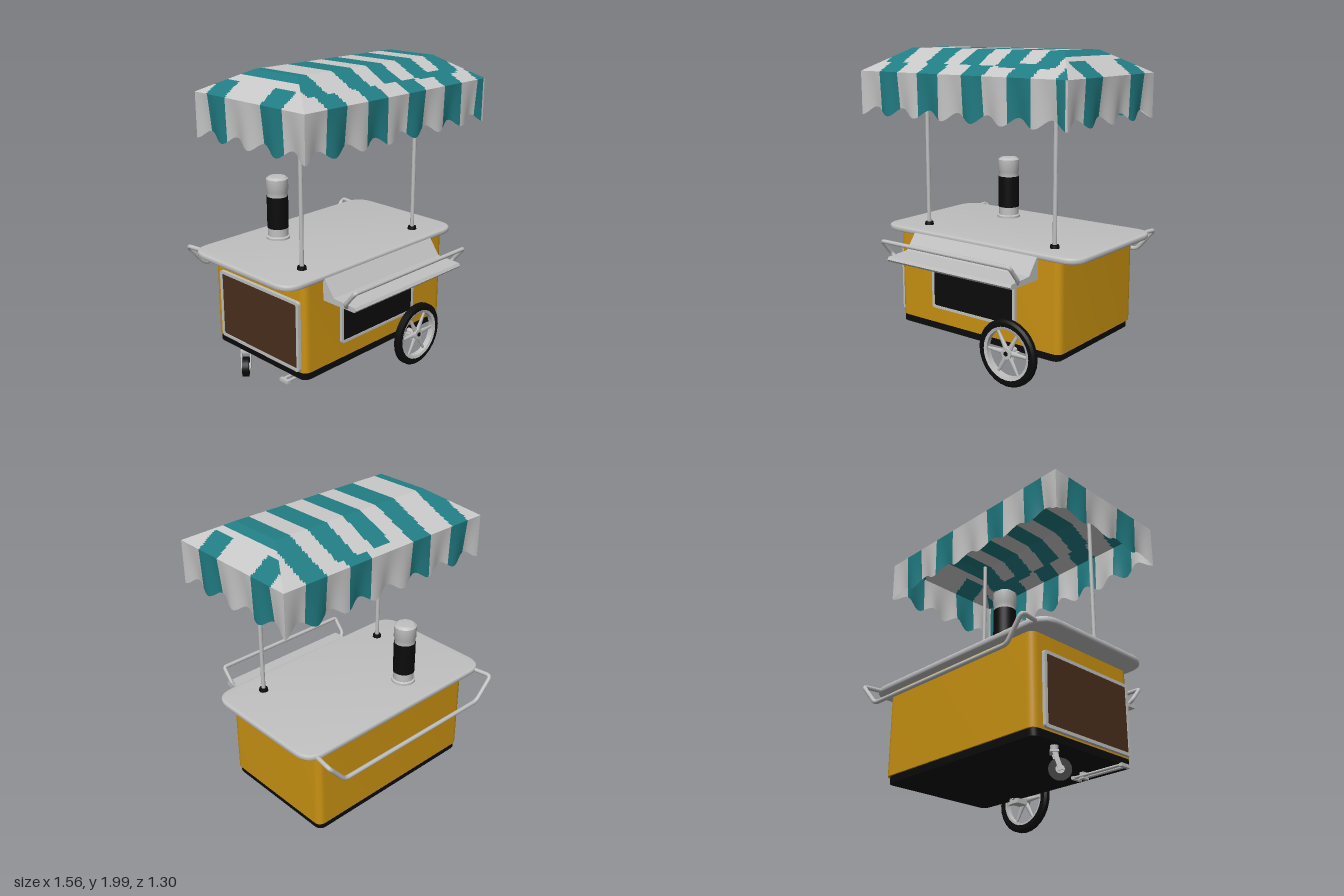
import * as THREE from 'three';
import { toCreasedNormals } from 'three/addons/utils/BufferGeometryUtils.js';

const V = (x, y, z) => new THREE.Vector3(x, y, z);
const paint = (name, color) => {
  const m = new THREE.MeshStandardMaterial({ color });
  m.name = name;
  return m;
};

export function createModel() {
  const cart = new THREE.Group();
  cart.name = 'foodCart';
  const gold = paint('golden yellow', 0xc99212);
  const steel = paint('brushed steel', 0xc0c0c0);
  const black = paint('black', 0x0b0b0b);
  const brown = paint('dark brown', 0x4a2e1c);
  const cloth = paint('off-white cloth', 0xc8c8c8);
  const teal = paint('teal cloth', 0x217d84);
  cloth.side = teal.side = THREE.DoubleSide;

  const add = (name, geo, mat, x = 0, y = 0, z = 0, parent = cart) => {
    const m = new THREE.Mesh(geo, mat);
    m.name = name;
    m.position.set(x, y, z);
    parent.add(m);
    return m;
  };
  const cyl = (r0, r1, h, n = 24) => new THREE.CylinderGeometry(r1, r0, h, n);
  const cylZ = (r, h, n = 24) => cyl(r, r, h, n).rotateX(Math.PI / 2);
  const box = (w, h, d) => new THREE.BoxGeometry(w, h, d);

  // Rounded rectangle outline centred on the origin
  const roundRect = (w, h, r, Kind = THREE.Shape) => {
    const s = new Kind(), a = w / 2, b = h / 2;
    s.moveTo(-a + r, -b).lineTo(a - r, -b).quadraticCurveTo(a, -b, a, -b + r);
    s.lineTo(a, b - r).quadraticCurveTo(a, b, a - r, b);
    s.lineTo(-a + r, b).quadraticCurveTo(-a, b, -a, b - r);
    s.lineTo(-a, -b + r).quadraticCurveTo(-a, -b, -a + r, -b);
    return s;
  };
  // Horizontal slab between two heights
  const slab = (x0, x1, z0, z1, y0, y1, r, bevel = 0) => {
    const g = new THREE.ExtrudeGeometry(roundRect(x1 - x0 - 2 * bevel, z1 - z0 - 2 * bevel, r), {
      depth: y1 - y0 - 2 * bevel, curveSegments: 8, bevelEnabled: bevel > 0,
      bevelSize: bevel, bevelThickness: bevel, bevelSegments: 3,
    });
    g.rotateX(-Math.PI / 2).translate((x0 + x1) / 2, y0 + bevel, (z0 + z1) / 2);
    return toCreasedNormals(g, 0.7);
  };
  // Tube along a polyline with rounded corners
  const pipe = (pts, r, fillet = 0.03) => {
    const path = new THREE.CurvePath();
    let from = pts[0];
    for (let i = 1; i < pts.length - 1; i++) {
      const p = pts[i];
      const a = p.clone().add(pts[i - 1].clone().sub(p).setLength(fillet));
      const b = p.clone().add(pts[i + 1].clone().sub(p).setLength(fillet));
      path.add(new THREE.LineCurve3(from, a));
      path.add(new THREE.QuadraticBezierCurve3(a, p, b));
      from = b;
    }
    path.add(new THREE.LineCurve3(from, pts[pts.length - 1]));
    return new THREE.TubeGeometry(path, 120, r, 10);
  };

  // Body and counter
  add('base', slab(-0.635, 0.62, -0.465, 0.35, 0.21, 0.255, 0.05), black);
  add('body', slab(-0.637, 0.632, -0.475, 0.352, 0.255, 0.825, 0.05), gold);
  add('counter', slab(-0.78, 0.755, -0.533, 0.368, 0.815, 0.852, 0.12, 0.012), steel);

  // Framed panels on the front and on the right end
  const framedPanel = (name, w, h, border, mat) => {
    const g = new THREE.Group();
    g.name = name;
    const s = roundRect(w, h, 0.02);
    s.holes.push(roundRect(w - 2 * border, h - 2 * border, 0.012, THREE.Path));
    add('panelFrame', new THREE.ExtrudeGeometry(s, { depth: 0.022, bevelEnabled: false }), steel, 0, 0, 0, g);
    add('panelFace', box(w - border, h - border, 0.009), mat, 0, 0, 0.013, g);
    cart.add(g);
    return g;
  };
  framedPanel('frontPanel', 0.665, 0.30, 0.017, black).position.set(-0.013, 0.51, 0.35);
  const side = framedPanel('sidePanel', 0.72, 0.45, 0.02, brown);
  side.position.set(-0.636, 0.49, -0.04);
  side.rotation.y = -Math.PI / 2;

  // Front shelf with its rail
  const profile = [[0.355, 0.83], [0.37, 0.83], [0.445, 0.73], [0.61, 0.722], [0.62, 0.705], [0.61, 0.692], [0.36, 0.692]];
  const shelf = new THREE.ExtrudeGeometry(new THREE.Shape(profile.map(p => new THREE.Vector2(...p))), { depth: 0.97, bevelEnabled: false });
  add('shelf', shelf.rotateY(-Math.PI / 2).translate(0.48, 0, 0), steel);
  add('shelfRail', pipe([V(-0.49, 0.71, 0.55), V(-0.513, 0.735, 0.56), V(-0.513, 0.825, 0.635),
    V(0.485, 0.825, 0.635), V(0.485, 0.735, 0.56), V(0.47, 0.71, 0.55)], 0.013, 0.015), steel);

  // Push handle at the back
  add('pushHandle', pipe([V(-0.7, 0.83, -0.48), V(-0.722, 0.83, -0.64), V(-0.6, 0.685, -0.632),
    V(0.57, 0.685, -0.632), V(0.695, 0.83, -0.64), V(0.67, 0.83, -0.48)], 0.014), steel);

  // Canopy poles with collars
  for (const x of [-0.515, 0.49]) {
    add('pole', cyl(0.013, 0.013, 1.13, 12), steel, x, 1.415, 0.205);
    add('poleCollar', cyl(0.03, 0.026, 0.022, 16), black, x, 0.861, 0.205);
  }

  // Dispenser on the counter
  const lathe = pts => toCreasedNormals(new THREE.LatheGeometry(pts.map(p => new THREE.Vector2(...p)), 28), 0.6);
  const can = new THREE.Group();
  can.name = 'dispenser';
  can.position.set(-0.247, 0, -0.305);
  cart.add(can);
  add('dispenserFoot', lathe([[0, 0.85], [0.077, 0.85], [0.077, 0.866], [0.066, 0.872], [0.066, 0.93]]), steel, 0, 0, 0, can);
  add('dispenserSleeve', cyl(0.069, 0.069, 0.21, 28), black, 0, 1.03, 0, can);
  add('dispenserLid', lathe([[0.066, 1.13], [0.066, 1.165], [0.071, 1.175], [0.071, 1.25], [0.055, 1.263], [0, 1.267]]), steel, 0, 0, 0, can);

  // Big spoked wheel
  const wheel = new THREE.Group();
  wheel.name = 'bigWheel';
  wheel.position.set(0.307, 0.218, 0.42);
  cart.add(wheel);
  const ring = pts => lathe(pts).rotateX(Math.PI / 2);
  add('tyre', ring([[0.165, -0.022], [0.195, -0.023], [0.211, -0.012], [0.211, 0.012], [0.195, 0.023], [0.165, 0.022], [0.165, -0.022]]), black, 0, 0, 0, wheel);
  add('rim', ring([[0.15, -0.018], [0.168, -0.018], [0.168, 0.024], [0.15, 0.018], [0.15, -0.018]]), steel, 0, 0, 0, wheel);
  for (let i = 0; i < 6; i++) {
    const spoke = cyl(0.019, 0.009, 0.14, 8).scale(1, 1, 0.7).translate(0, 0.085, 0).rotateZ(i * Math.PI / 3 + Math.PI / 6);
    add('spoke', spoke, steel, 0, 0, 0, wheel);
  }
  add('hub', cylZ(0.036, 0.04), steel, 0, 0, 0, wheel);
  add('hubCap', cylZ(0.014, 0.008), black, 0, 0, 0.021, wheel);
  add('axle', cylZ(0.018, 0.12), steel, 0, 0, -0.06, wheel);
  add('axleBracket', box(0.07, 0.035, 0.09), steel, 0.307, 0.197, 0.36);

  // Swivelling caster
  const caster = new THREE.Group();
  caster.name = 'caster';
  caster.position.set(-0.605, 0.073, -0.24);
  caster.rotation.y = Math.PI / 4;
  cart.add(caster);
  add('casterTyre', cylZ(0.064, 0.04), black, 0, 0, 0, caster);
  add('casterHub', cylZ(0.025, 0.05, 16), steel, 0, 0, 0, caster);
  for (const s of [-1, 1]) add('forkArm', box(0.026, 0.11, 0.008), steel, 0.012, 0.045, s * 0.029, caster).rotation.z = -0.3;
  add('forkCrown', box(0.05, 0.012, 0.068), steel, 0.028, 0.1, 0, caster);
  add('swivelPin', cyl(0.02, 0.024, 0.05, 16), steel, 0.028, 0.122, 0, caster);

  // Tow bar under the base
  for (const z of [0.2, 0.24]) add('towBar', cyl(0.009, 0.009, 0.38, 10).rotateZ(Math.PI / 2), steel, -0.5, 0.187, z);
  for (const x of [-0.68, -0.32]) add('towBarLink', box(0.022, 0.02, 0.07), steel, x, 0.185, 0.22);
  add('towBarMount', box(0.03, 0.05, 0.05), steel, -0.38, 0.195, 0.22);

  // Striped canopy: panels are cut into small cells, each sorted by cloth colour
  const tris = { white: [], teal: [] };
  const panel = (at, nu, nv, isTeal) => {
    for (let i = 0; i < nu; i++) for (let j = 0; j < nv; j++) {
      const [a, b, c, d] = [[0, 0], [1, 0], [1, 1], [0, 1]].map(([p, q]) => at((i + p) / nu, (j + q) / nv));
      const mid = a.clone().add(c).multiplyScalar(0.5);
      const list = isTeal(mid) ? tris.teal : tris.white;
      for (const p of [a, b, c, a, c, d]) list.push(p.x, p.y, p.z);
    }
  };
  const quad = (a, b, c, d) => (u, v) => d.clone().lerp(c, u).lerp(a.clone().lerp(b, u), 1 - v);
  const inBand = (t, bands) => bands.some(([lo, hi]) => t > lo && t < hi);
  const topBands = [[-0.655, -0.51], [-0.32, -0.17], [-0.045, 0.09], [0.22, 0.36], [0.485, 0.63]];
  const frontBands = [[-0.61, -0.455], [-0.29, -0.13], [0.04, 0.2], [0.37, 0.54], [0.7, 0.77]];
  const backBands = [[-0.655, -0.51], [-0.32, -0.17], [0.15, 0.32], [0.485, 0.63]];
  const endBands = [[0.175, 0.345], [-0.29, -0.13]];
  const roofTeal = p => {
    if (p.z > 0.395 && p.z < 0.435 && p.x > 0.24 && p.x < 0.6) return true;
    return inBand(p.x, p.z > 0.415 ? frontBands : p.z < -0.355 ? backBands : topBands);
  };
  const endTeal = p => (Math.abs(p.x) < 0.62 || (Math.abs(p.x) > 0.66 && inBand(p.z, endBands)));

  const rim = [V(-0.775, 1.86, 0.522), V(0.78, 1.86, 0.522), V(0.78, 1.86, -0.402), V(-0.775, 1.86, -0.402)];
  const top = [V(-0.575, 2, 0.26), V(0.58, 2, 0.26), V(0.58, 2, -0.1), V(-0.575, 2, -0.1)];
  panel(quad(...top), 96, 24, roofTeal);
  const sides = [
    { n: 104, waves: 7, slope: roofTeal, skirt: p => inBand(p.x, frontBands) },
    { n: 64, waves: 4, slope: endTeal, skirt: p => inBand(p.z, endBands) },
    { n: 104, waves: 7, slope: roofTeal, skirt: p => inBand(p.x, backBands) },
    { n: 64, waves: 4, slope: endTeal, skirt: p => inBand(p.z, endBands) },
  ];
  sides.forEach(({ n, waves, slope, skirt }, k) => {
    const a = rim[k], b = rim[(k + 1) % 4];
    panel(quad(a, b, top[(k + 1) % 4], top[k]), n, 18, slope);
    // Hanging skirt with soft folds and a scalloped hem
    const inward = V(0, 1, 0).cross(b.clone().sub(a)).normalize().negate();
    inward.multiplyScalar(Math.sign(inward.dot(V(0, 0, 0.06).sub(a.clone().lerp(b, 0.5)))));
    panel((u, v) => {
      const wave = Math.cos(2 * Math.PI * waves * u);
      const p = a.clone().lerp(b, u).addScaledVector(inward, 0.012 * v * (1 - wave));
      p.y = THREE.MathUtils.lerp(1.86, 1.615 - 0.027 * wave, v);
      return p;
    }, n, 8, skirt);
  });
  for (const [name, list, mat] of [['canopyWhite', tris.white, cloth], ['canopyStripes', tris.teal, teal]]) {
    const g = new THREE.BufferGeometry();
    g.setAttribute('position', new THREE.Float32BufferAttribute(list, 3));
    g.computeVertexNormals();
    add(name, toCreasedNormals(g, 0.35), mat);
  }
  return cart;
}
